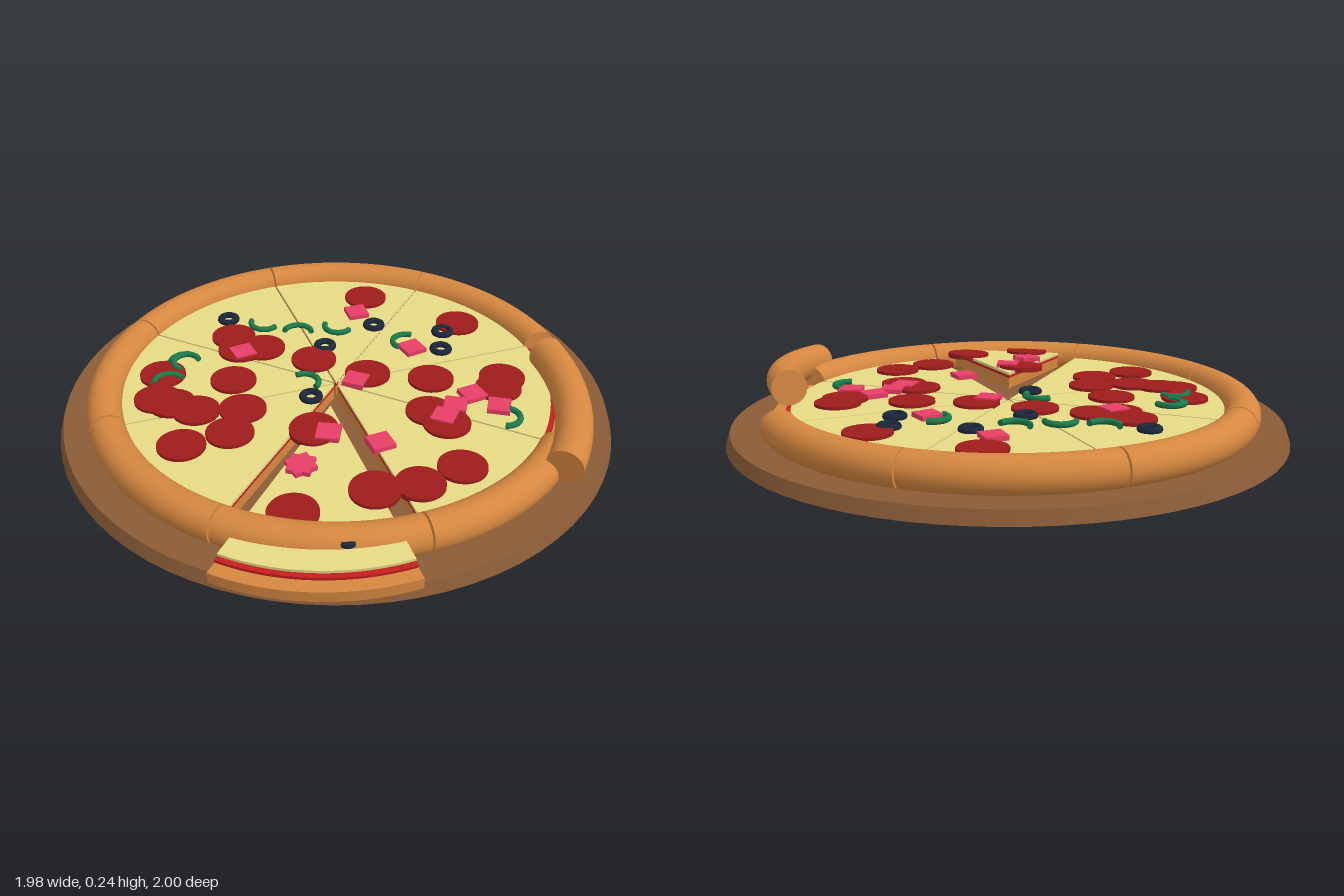
import * as THREE from 'three';
import { mergeGeometries } from 'three/addons/utils/BufferGeometryUtils.js';

const material = (name, color) => {
  const m = new THREE.MeshStandardMaterial({ color });
  m.name = name;
  return m;
};

const STEP = Math.PI / 4; // eight slices
const TOP = 0.105; // height of the cheese surface

// Tube bent along a flat arc from +x towards +z, closed at both ends
function arcTube(radius, tube, arc, sides, segments) {
  const start = new THREE.CircleGeometry(tube, sides).rotateX(Math.PI / 2).translate(radius, 0, 0);
  const end = new THREE.CircleGeometry(tube, sides).rotateX(-Math.PI / 2).translate(radius, 0, 0).rotateZ(arc);
  const body = new THREE.TorusGeometry(radius, tube, sides, segments, arc);
  return mergeGeometries([body, start, end]).rotateX(Math.PI / 2);
}

// Flat pie wedge between two heights
function wedge(radius, bottom, top) {
  const shape = new THREE.Shape();
  shape.moveTo(0, 0);
  shape.lineTo(radius, 0);
  shape.absarc(0, 0, radius, 0, STEP, false);
  shape.lineTo(0, 0);
  return new THREE.ExtrudeGeometry(shape, { depth: top - bottom, bevelEnabled: false, curveSegments: 20 })
    .rotateX(Math.PI / 2).translate(0, top, 0);
}

export function createModel() {
  const wood = material('wood', 0x8b5c37);
  const crust = material('crust', 0xd58740);
  const sauce = material('sauce', 0xc41e1e);
  const cheese = material('cheese', 0xe6d985);
  const pepperoni = material('pepperoni', 0x9e1c1c);
  const ham = material('ham', 0xe83e66);
  const olive = material('olive', 0x1b2638);
  const pepper = material('pepper', 0x1a7a4a);

  const model = new THREE.Group();
  model.name = 'pizzaOnBoard';
  const pizza = new THREE.Group();
  pizza.name = 'pizza';
  pizza.position.z = -0.01;
  model.add(pizza);

  const add = (parent, name, geometry, mat, x = 0, y = 0, z = 0, turn = 0) => {
    const mesh = new THREE.Mesh(geometry, mat);
    mesh.name = name;
    mesh.position.set(x, y, z);
    mesh.rotation.y = turn;
    parent.add(mesh);
  };

  // Serving board
  add(pizza, 'board', new THREE.CylinderGeometry(0.973, 0.988, 0.045, 72), wood, 0, 0.0225, 0);

  // Tilted group for the pulled-out slice
  const pulled = new THREE.Group();
  pulled.name = 'pulledSlice';
  pulled.position.set(0.07, 0.05, 0.18);
  pulled.rotation.x = 0.06;
  pizza.add(pulled);

  // Tilted group for the loose piece of crust
  const loose = new THREE.Group();
  loose.name = 'looseCrust';
  loose.position.set(0.062, 0.055, 0.162);
  loose.rotation.x = 0.06;
  pizza.add(loose);

  // Slices: dough, sauce, cheese and a rounded rim
  const layers = [
    ['dough', wedge(0.82, 0.045, 0.085), crust],
    ['sauceLayer', wedge(0.775, 0.085, 0.095), sauce],
    ['cheeseLayer', wedge(0.757, 0.095, TOP), cheese],
  ];
  const rim = arcTube(0.815, 0.0625, STEP, 28, 20);
  for (let k = 0; k < 8; k++) {
    const mid = (k + 0.5) * STEP;
    const gap = 0.009;
    const x = gap * Math.cos(mid), z = gap * Math.sin(mid);
    for (const [name, geometry, mat] of layers) {
      add(k === 1 ? pulled : pizza, name, geometry, mat, x, 0, z, -k * STEP);
    }
    add(k === 7 ? loose : pizza, 'crustRim', rim, crust, x, 0.0925, z, -k * STEP);
  }

  // Pepperoni discs
  const disc = new THREE.CylinderGeometry(0.083, 0.083, 0.018, 32);
  const discs = [
    [-0.16, -0.62], [0.25, -0.59], [-0.49, -0.12], [-0.35, -0.1], [-0.14, -0.11],
    [0.08, -0.11], [0.3, -0.18], [0.53, -0.3], [0.54, -0.23], [-0.42, -0.05],
    [0.37, 0.01], [0.45, 0.05], [-0.59, 0.22], [-0.34, 0.14], [-0.22, 0.28],
    [-0.52, 0.36], [-0.46, 0.36], [-0.36, 0.36], [-0.19, 0.42], [-0.3, 0.55],
    [0.58, 0.25], [0.49, 0.39],
  ];
  for (const [x, z] of discs) add(pizza, 'pepperoniDisc', disc, pepperoni, x, TOP + 0.002, z + 0.01);
  for (const [x, z] of [[0.01, 0.15], [0.315, 0.335], [0.13, 0.53]]) {
    add(pulled, 'pepperoniDisc', disc, pepperoni, x, TOP + 0.002, z);
  }

  // Ham cubes: x, z, turn
  const cube = new THREE.BoxGeometry(0.08, 0.024, 0.08);
  const cubes = [
    [-0.14, -0.49, 0.75], [0.16, -0.34, 0.95], [-0.4, -0.035, 0.9], [0.06, -0.05, 0.08],
    [0.47, -0.15, 0.9], [0.44, -0.06, 0.25], [0.43, 0.02, 0.05], [0.58, -0.12, 0.25],
    [0.29, 0.25, 0.85],
  ];
  for (const [x, z, turn] of cubes) add(pizza, 'hamCube', cube, ham, x, TOP + 0.005, z + 0.01, turn);
  for (const [x, z, turn] of [[0.065, 0.15, 0.3], [0.055, 0.33, 0.2], [0.055, 0.33, 0.95]]) {
    add(pulled, 'hamCube', cube, ham, x, TOP + 0.005, z, turn);
  }

  // Olive rings
  const ring = new THREE.TorusGeometry(0.03, 0.013, 10, 24).rotateX(Math.PI / 2);
  const rings = [
    [-0.04, -0.435], [0.22, -0.505], [0.26, -0.385], [-0.575, -0.225], [-0.145, -0.215], [-0.04, 0.11],
  ];
  for (const [x, z] of rings) add(pizza, 'oliveRing', ring, olive, x, TOP + 0.006, z + 0.01);
  add(pulled, 'oliveRing', ring, olive, 0.325, TOP + 0.004, 0.555);

  // Pepper strips: x, z and the direction the bend points to
  const strip = arcTube(0.052, 0.011, Math.PI * 0.9, 10, 16).rotateY(-Math.PI * 0.05);
  const strips = [
    [-0.43, -0.255, 0, 1], [-0.16, -0.36, 0, 1], [-0.28, -0.25, -0.4, -1], [0.125, -0.37, -1, -0.1],
    [-0.1, 0.045, 0.4, -1], [-0.55, 0.115, -1, 0.3], [-0.56, 0.12, -0.6, -0.8],
    [-0.54, 0.26, -0.7, -0.7], [0.62, -0.065, 1, -0.2],
  ];
  for (const [x, z, dx, dz] of strips) {
    add(pizza, 'pepperStrip', strip, pepper, x, TOP + 0.011, z + 0.01, Math.atan2(dx, dz));
  }

  return model;
}
